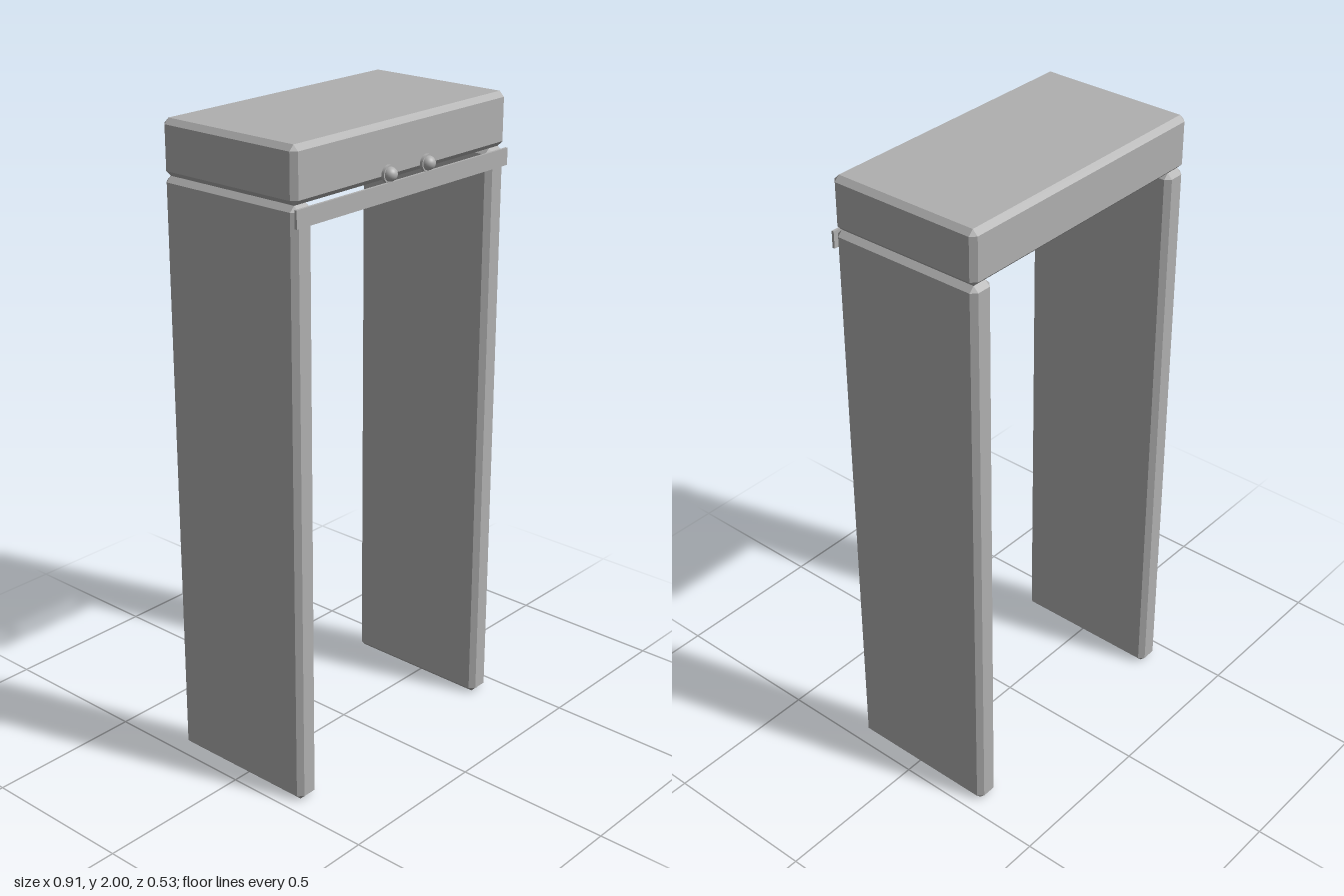
import * as THREE from 'three';
import { ConvexGeometry } from 'three/addons/geometries/ConvexGeometry.js';

const grey = new THREE.MeshStandardMaterial({ color: 0xb0b0b0 });
grey.name = 'grey';

// Box between two corners with every edge chamfered by c
function chamferBox(min, max, c) {
  const centre = min.map((v, i) => (v + max[i]) / 2);
  const half = min.map((v, i) => (max[i] - v) / 2);
  const points = [];
  for (const sx of [-1, 1]) for (const sy of [-1, 1]) for (const sz of [-1, 1]) {
    const s = [sx, sy, sz];
    // each corner becomes three points, one on each neighbouring face
    for (let face = 0; face < 3; face++) {
      points.push(new THREE.Vector3(...s.map((k, i) => centre[i] + k * (half[i] - (i === face ? 0 : c)))));
    }
  }
  return new ConvexGeometry(points);
}

export function createModel() {
  const model = new THREE.Group();
  model.name = 'walkThroughGate';
  const add = (name, geometry, parent = model) => {
    const mesh = new THREE.Mesh(geometry, grey);
    mesh.name = name;
    parent.add(mesh);
    return mesh;
  };

  const W = 0.457, back = -0.267, front = 0.233, seam = 1.837, c = 0.016;

  // Top housing and the two side panels
  add('topHousing', chamferBox([-W, seam, back], [W, 2, front], c));
  add('leftPanel', chamferBox([0.38, 0, back], [W, seam, front], c));
  add('rightPanel', chamferBox([-W, 0, back], [-0.38, seam, front], c));

  // Thin strip across the front
  add('frontStrip', new THREE.BoxGeometry(2 * W, 0.052, 0.008)).position.set(0, 1.806, 0.237);

  // Two small lamps: a short collar with a dome
  for (const side of [1, -1]) {
    const lamp = new THREE.Group();
    lamp.name = side > 0 ? 'leftLamp' : 'rightLamp';
    lamp.position.set(side * 0.083, 1.857, front);
    lamp.rotation.x = Math.PI / 2;
    add('collar', new THREE.CylinderGeometry(0.025, 0.025, 0.01, 24), lamp).position.y = 0.004;
    const dome = add('dome', new THREE.SphereGeometry(0.021, 24, 10, 0, Math.PI * 2, 0, Math.PI / 2), lamp);
    dome.position.y = 0.009;
    dome.scale.y = 1.07;
    model.add(lamp);
  }
  return model;
}
